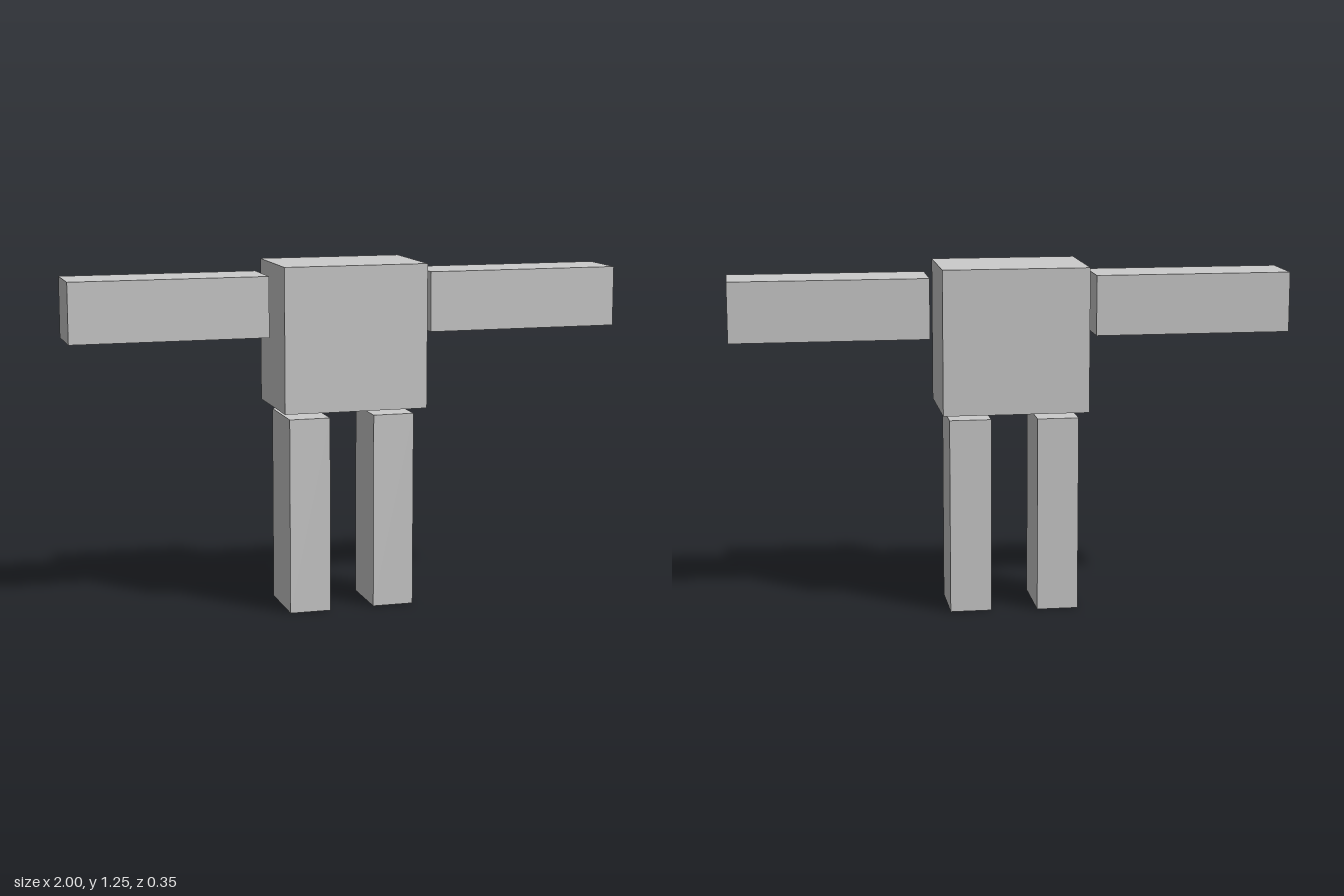
import * as THREE from 'three';

export function createModel() {
  const model = new THREE.Group();
  model.name = 'blockFigure';

  const grey = new THREE.MeshStandardMaterial({ color: 0xcccccc });
  grey.name = 'light grey';

  // Box spanning x0..x1 and y0..y1, centred on z = 0
  function block(name, x0, x1, y0, y1, depth) {
    const mesh = new THREE.Mesh(new THREE.BoxGeometry(x1 - x0, y1 - y0, depth), grey);
    mesh.name = name;
    mesh.position.set((x0 + x1) / 2, (y0 + y1) / 2, 0);
    model.add(mesh);
  }

  block('torso', -0.26, 0.26, 0.732, 1.247, 0.353);

  // Outstretched arms
  block('leftArm', 0.297, 1, 0.995, 1.21, 0.209);
  block('rightArm', -1, -0.297, 0.995, 1.21, 0.209);

  // Legs: the right one is slightly deeper
  block('leftLeg', 0.082, 0.231, 0, 0.704, 0.228);
  block('rightLeg', -0.231, -0.083, 0, 0.704, 0.253);

  return model;
}
